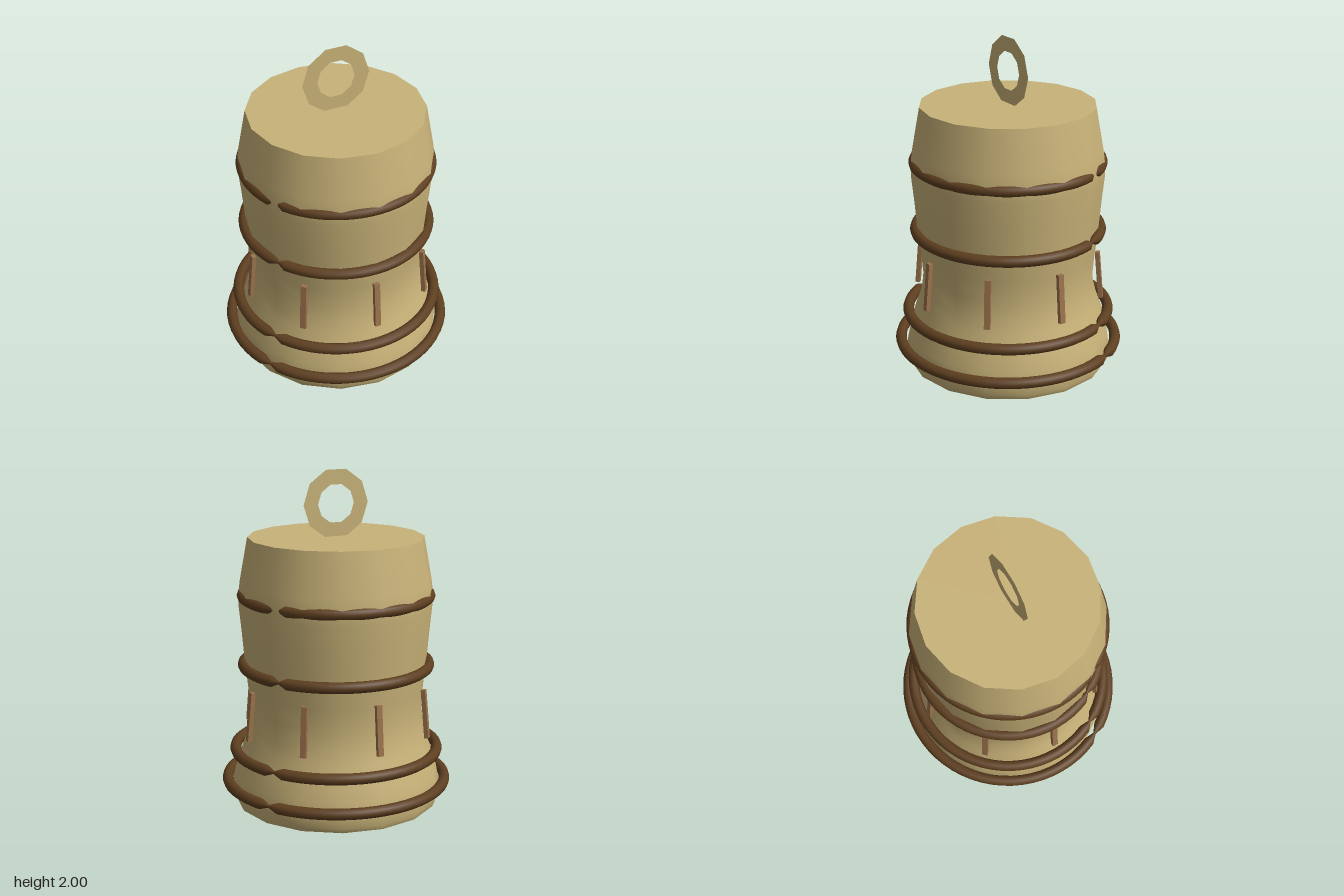
import * as THREE from 'three';

const material = (name, color) => {
  const m = new THREE.MeshStandardMaterial({ color });
  m.name = name;
  return m;
};

export function createModel() {
  const group = new THREE.Group();
  const cream = material('cream', 0xc8b278);
  const darkWood = material('dark brown', 0x5e3f20);
  const lightWood = material('light brown', 0x9c734c);
  const sheet = material('cream sheet', 0xc8b278);
  sheet.side = THREE.DoubleSide;

  const add = (name, geometry, mat) => {
    const mesh = new THREE.Mesh(geometry, mat);
    mesh.name = name;
    group.add(mesh);
    return mesh;
  };

  // Sixteen-sided flared body, from foot to shoulder
  const profile = [
    [0.61, 0], [0.625, 0.03], [0.632, 0.1], [0.617, 0.18], [0.585, 0.29], [0.552, 0.38],
    [0.53, 0.47], [0.518, 0.58], [0.528, 0.7], [0.545, 0.85], [0.562, 1.05],
    [0.577, 1.2], [0.577, 1.27], [0.568, 1.35], [0.52, 1.61],
  ].map(([r, y]) => new THREE.Vector2(r, y));
  add('body', new THREE.LatheGeometry(profile, 16), cream);

  // Flat ends, with corners matching the body
  const cap = (r) => new THREE.CircleGeometry(r, 16);
  add('topCap', cap(0.52).rotateX(-Math.PI / 2).translate(0, 1.61, 0), cream);
  add('bottomCap', cap(0.61).rotateX(Math.PI / 2), cream);

  // Thin flat ten-sided hanging loop
  add('hangingLoop', new THREE.RingGeometry(0.116, 0.208, 10), sheet).position.y = 1.802;

  // Round bands, each pinched at two opposite places
  const band = (radius, tube, y) => {
    const sides = 10, steps = 64;
    const g = new THREE.TorusGeometry(radius, tube, sides, steps);
    const p = g.attributes.position;
    for (let i = 0; i < p.count; i++) {
      const step = i % (steps + 1);
      if (step !== 5 && step !== 37) continue;
      const a = (step / steps) * Math.PI * 2;
      const cx = radius * Math.cos(a), cy = radius * Math.sin(a), k = 0.25;
      p.setXYZ(i, cx + (p.getX(i) - cx) * k, cy + (p.getY(i) - cy) * k, p.getZ(i) * k);
    }
    g.computeBoundingSphere();
    add('band', g.rotateX(-Math.PI / 2).translate(0, y, 0), darkWood);
  };
  band(0.66, 0.033, 0.135);
  band(0.61, 0.033, 0.325);
  band(0.555, 0.033, 0.845);
  band(0.553, 0.034, 1.265);

  // Eight leaning slats around the waist
  for (let i = 0; i < 8; i++) {
    const g = new THREE.BoxGeometry(0.035, 0.295, 0.026);
    g.rotateX(-0.09).translate(0, 0.577, 0.558).rotateY((i * Math.PI) / 4);
    add('slat', g, lightWood);
  }
  return group;
}
